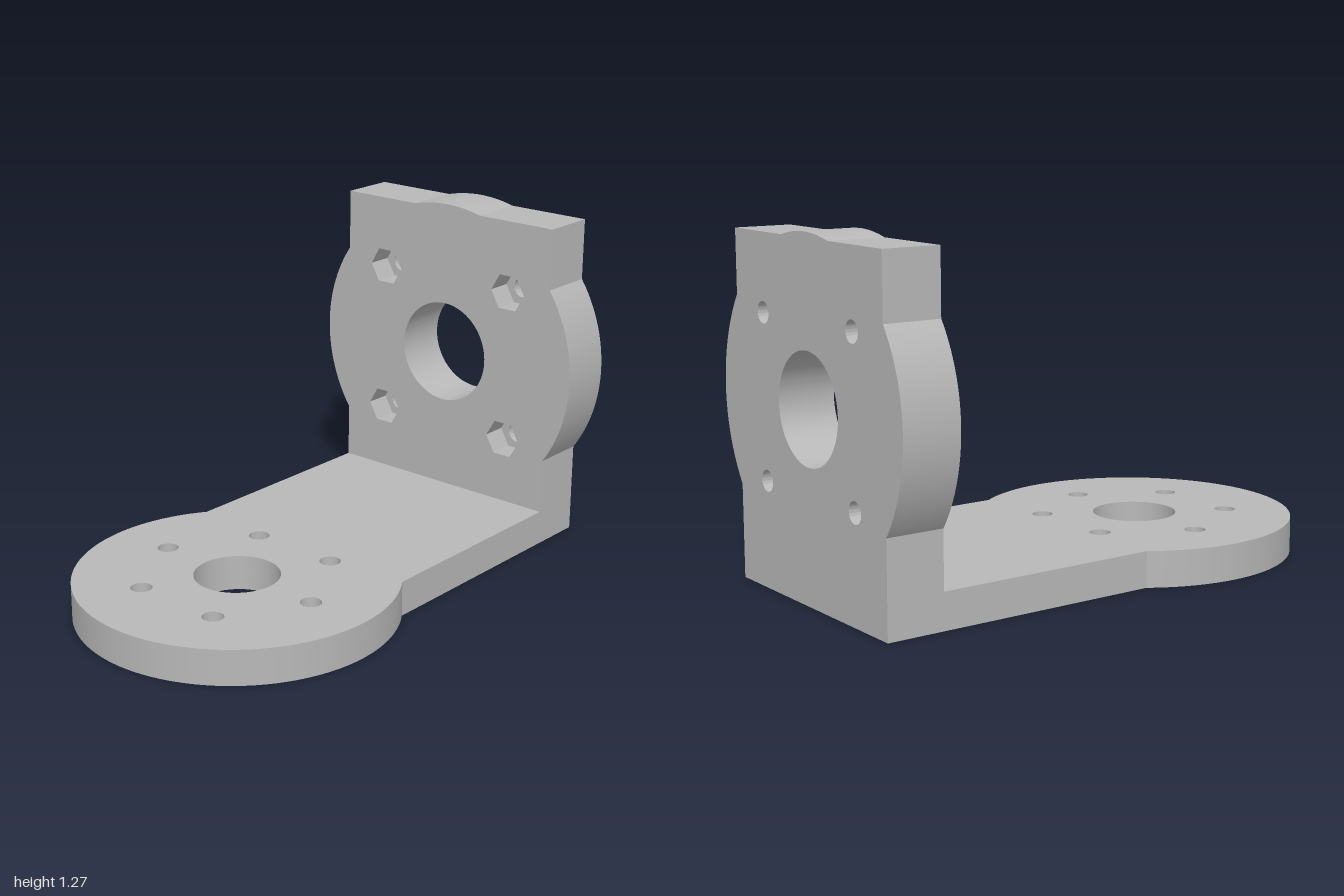
import * as THREE from 'three';
import { toCreasedNormals } from 'three/addons/utils/BufferGeometryUtils.js';

const HALF = 0.485;       // half width of the straight bar
const R = 0.592;          // radius of the round flanges
const BASE_TOP = 0.133, BASE_Z = 0.405;
const WALL_BACK = -1, WALL_FRONT = -0.785, WALL_Y = 0.683, WALL_TOP = 1.255;
const SIDE = Math.acos(HALF / R);                  // where the disc meets the bar
const CROWN = Math.asin((WALL_TOP - WALL_Y) / R);  // where the disc meets the top edge

function roundHole(x, y, r) {
  return new THREE.Path().absarc(x, y, r, 0, Math.PI * 2, true);
}

function hexHole(x, y, r) {
  const pts = [];
  for (let i = 0; i < 6; i++) {
    const a = -i * Math.PI / 3;
    pts.push(new THREE.Vector2(x + r * Math.cos(a), y + r * Math.sin(a)));
  }
  return new THREE.Path(pts);
}

// Bar running into a full disc; shape y becomes z
function baseOutline() {
  const s = new THREE.Shape();
  s.moveTo(-HALF, WALL_FRONT);
  s.lineTo(HALF, WALL_FRONT);
  s.absarc(0, BASE_Z, R, -SIDE, Math.PI + SIDE, false);
  s.closePath();
  return s;
}

// Upright bar with disc bulging from both sides and the top
function wallOutline() {
  const s = new THREE.Shape();
  s.moveTo(-HALF, 0);
  s.lineTo(HALF, 0);
  s.absarc(0, WALL_Y, R, -SIDE, SIDE, false);
  s.lineTo(HALF, WALL_TOP);
  s.absarc(0, WALL_Y, R, CROWN, Math.PI - CROWN, false);
  s.lineTo(-HALF, WALL_TOP);
  s.absarc(0, WALL_Y, R, Math.PI - SIDE, Math.PI + SIDE, false);
  s.closePath();
  return s;
}

function layer(outline, holes, depth) {
  outline.holes.push(...holes);
  return new THREE.ExtrudeGeometry(outline, { depth, bevelEnabled: false, curveSegments: 64 });
}

export function createModel() {
  const group = new THREE.Group();
  const grey = new THREE.MeshStandardMaterial({ color: 0xb8b8b8 });
  grey.name = 'grey';

  const add = (name, geometry) => {
    const mesh = new THREE.Mesh(toCreasedNormals(geometry, 0.2), grey);
    mesh.name = name;
    group.add(mesh);
  };

  // Base: six bolt holes, counterbored from below
  const baseLayer = (name, y0, y1, boltRadius) => {
    const holes = [roundHole(0, BASE_Z, 0.157)];
    for (let i = 0; i < 6; i++) {
      const a = i * Math.PI / 3;
      holes.push(roundHole(0.352 * Math.cos(a), BASE_Z + 0.352 * Math.sin(a), boltRadius));
    }
    const g = layer(baseOutline(), holes, y1 - y0);
    g.rotateX(Math.PI / 2).translate(0, y1, 0);
    add(name, g);
  };
  const boreDepth = 0.06;
  baseLayer('baseCounterboreLayer', 0, boreDepth, 0.07);
  baseLayer('baseTopLayer', boreDepth, BASE_TOP, 0.039);

  // Upright: four bolt holes with hexagonal nut pockets in the front
  const wallLayer = (name, z0, z1, boltHole, boltRadius) => {
    const holes = [roundHole(0, WALL_Y, 0.198)];
    for (const sx of [-1, 1]) for (const sy of [-1, 1]) {
      holes.push(boltHole(sx * 0.295, WALL_Y + sy * 0.295, boltRadius));
    }
    const g = layer(wallOutline(), holes, z1 - z0);
    g.translate(0, 0, z0);
    add(name, g);
  };
  const pocketFloor = WALL_FRONT - 0.1;
  wallLayer('uprightBackLayer', WALL_BACK, pocketFloor, roundHole, 0.039);
  wallLayer('uprightNutPocketLayer', pocketFloor, WALL_FRONT, hexHole, 0.076);

  return group;
}
